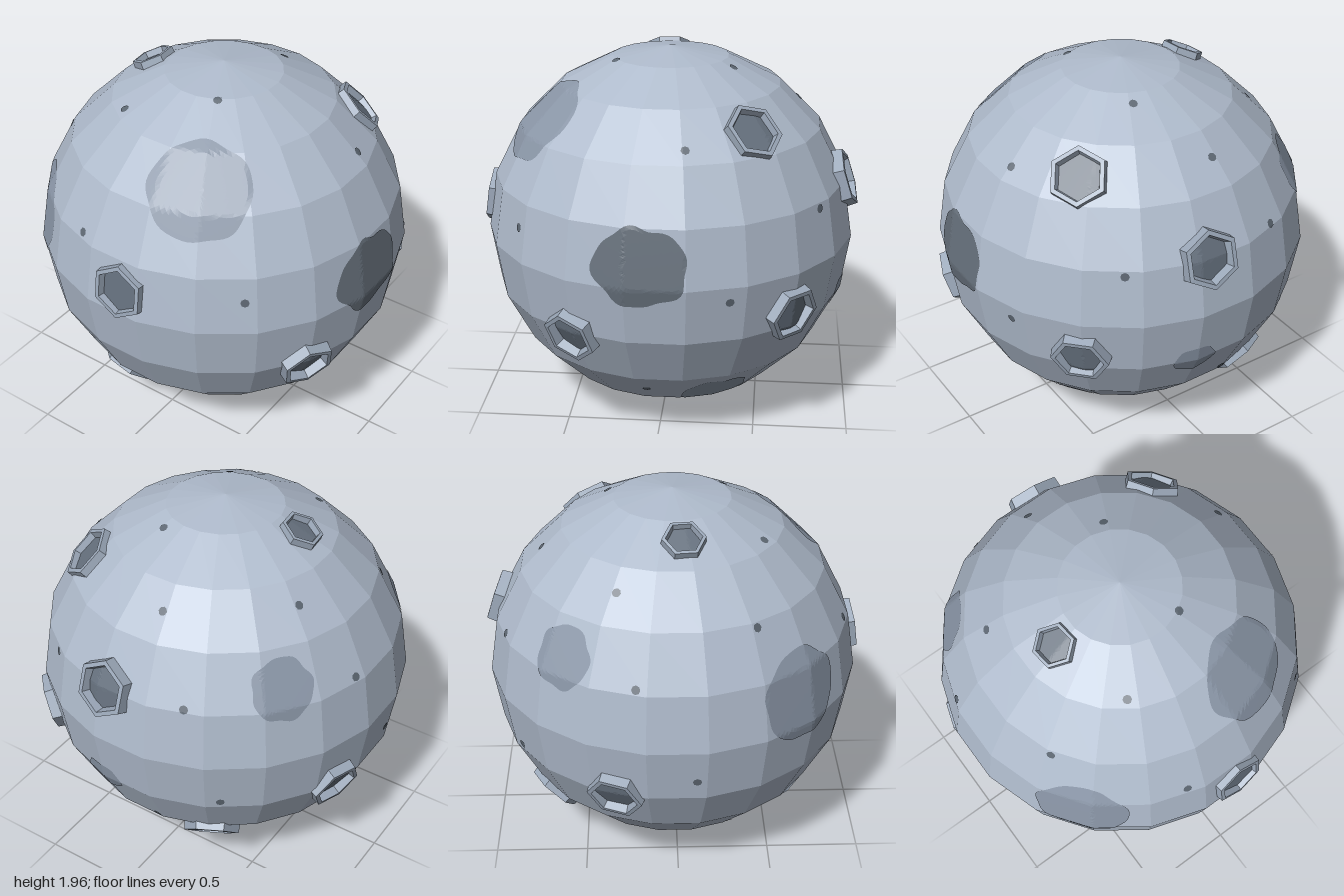
import * as THREE from 'three';

const SIDES = 20, BANDS = 10, RX = 0.99, RY = 0.98;

const mat = (name, color) => new THREE.MeshStandardMaterial({ name, color, flatShading: true });

// Distance from the centre to the faceted ball along a unit direction
function surfaceDistance(d) {
  const step = (2 * Math.PI) / SIDES;
  const theta = Math.atan2(d.z, d.x);
  const mid = Math.round(theta / step) * step;
  const h = Math.hypot(d.x, d.z) * Math.cos(theta - mid);
  const r = RX * Math.cos(step / 2);
  let best = Infinity;
  for (let i = 0; i < BANDS; i++) {
    const a = (i * Math.PI) / BANDS, b = ((i + 1) * Math.PI) / BANDS;
    const ax = r * Math.sin(a), ay = RY * Math.cos(a);
    const nx = ay - RY * Math.cos(b), ny = r * Math.sin(b) - ax;
    const k = nx * h + ny * d.y;
    if (k > 1e-6) best = Math.min(best, (nx * ax + ny * ay) / k);
  }
  return best;
}

// Local frame on the ball: outward normal, upward tangent, sideways tangent
function frame(dir) {
  const n = new THREE.Vector3(...dir).normalize();
  const u = new THREE.Vector3(0, 1, 0).addScaledVector(n, -n.y).normalize();
  return { n, u, s: new THREE.Vector3().crossVectors(n, u) };
}

// Thin patch hugging the facets; radiusAt(angle) gives its outline
function patchGeometry(dir, radiusAt, rings, segs, lift) {
  const { n, u, s } = frame(dir);
  const pos = [], idx = [];
  const add = (r, a) => {
    const p = n.clone().multiplyScalar(RY)
      .addScaledVector(u, r * Math.cos(a)).addScaledVector(s, r * Math.sin(a)).normalize();
    p.multiplyScalar(surfaceDistance(p) + lift);
    pos.push(p.x, p.y, p.z);
  };
  add(0, 0);
  for (let k = 1; k <= rings; k++) {
    for (let i = 0; i < segs; i++) {
      const a = (i / segs) * Math.PI * 2;
      add((radiusAt(a) * k) / rings, a);
    }
  }
  for (let i = 0; i < segs; i++) {
    const j = (i + 1) % segs;
    idx.push(0, 1 + i, 1 + j);
    for (let k = 1; k < rings; k++) {
      const p = 1 + (k - 1) * segs, q = p + segs;
      idx.push(p + i, q + i, q + j, p + i, q + j, p + j);
    }
  }
  const g = new THREE.BufferGeometry();
  g.setAttribute('position', new THREE.Float32BufferAttribute(pos, 3));
  g.setIndex(idx);
  g.computeVertexNormals();
  return g;
}

export function createModel() {
  const model = new THREE.Group();
  model.name = 'moon';
  const ball = new THREE.Group();
  ball.name = 'moonBall';
  ball.position.set(0.015, RY, -0.003);
  model.add(ball);

  const rock = mat('paleRock', 0xafbbcc);
  const rimRock = mat('rimRock', 0x9ca9ba);
  const plain = mat('greyPlain', 0x8b97a8);
  const dark = mat('darkPlain', 0x66707b);
  const floorMat = mat('craterFloor', 0x65707d);
  const pit = mat('pitGrey', 0x5d6772);

  const add = (parent, name, geometry, material) => {
    const mesh = new THREE.Mesh(geometry, material);
    mesh.name = name;
    parent.add(mesh);
    return mesh;
  };

  // Faceted body
  const body = new THREE.SphereGeometry(1, SIDES, BANDS);
  body.rotateY(Math.PI / SIDES);
  body.scale(RX, RY, RX);
  add(ball, 'body', body, rock);

  // Craters: direction, outer radius, twist in degrees
  const craters = [
    [[0.45, 0.675, 0.54], 0.158, 10],
    [[-0.43, -0.32, 0.82], 0.153, 10],
    [[0.655, -0.215, 0.67], 0.157, 30],
    [[0.925, 0.305, 0.1], 0.162, 0],
    [[-0.965, 0.14, 0.05], 0.155, 0],
    [[-0.607, -0.735, -0.225], 0.15, 0],
    [[-0.045, 0.88, -0.42], 0.116, 30],
    [[0.64, -0.645, -0.335], 0.152, 30],
    [[0.31, -0.315, -0.88], 0.153, 25],
  ];
  for (const [dir, R, deg] of craters) {
    const crater = new THREE.Group();
    crater.name = 'crater';
    ball.add(crater);
    const twist = THREE.MathUtils.degToRad(deg);
    const { n, u, s } = frame(dir);

    // Six-sided raised rim
    const profile = [[1, -0.035], [0.96, 0.032], [0.8, 0.034], [0.7, -0.02]]
      .map(([r, y]) => new THREE.Vector2(r * R, y));
    const rim = new THREE.LatheGeometry(profile, 6);
    rim.rotateY(twist);
    rim.applyMatrix4(new THREE.Matrix4().makeBasis(s, n, u)
      .setPosition(n.clone().multiplyScalar(surfaceDistance(n))));
    add(crater, 'craterRim', rim, rimRock);

    // Dark floor filling the rim
    const hex = (a) => {
      const w = Math.PI / 3;
      const t = (((a - twist) % w) + w) % w - w / 2;
      return (0.77 * R * Math.cos(w / 2)) / Math.cos(t);
    };
    add(crater, 'craterFloor', patchGeometry(dir, hex, 5, 36, 0.004), floorMat);
  }

  // Plains: direction, half width, half height, waviness, material
  const plains = [
    [[-0.075, 0.11, 0.97], 0.245, 0.205, 0.05, dark],
    [[-0.65, 0.67, 0.31], 0.27, 0.26, 0.03, plain],
    [[-0.64, 0.17, -0.72], 0.255, 0.25, 0.03, plain],
    [[0.55, 0.39, -0.69], 0.16, 0.165, 0.04, plain],
    [[0.92, -0.31, 0.155], 0.117, 0.095, 0.03, plain],
    [[0.28, -0.73, 0.57], 0.18, 0.155, 0.04, plain],
  ];
  plains.forEach(([dir, w, h, wave, material], k) => {
    const outline = (a) =>
      (w * h) / Math.hypot(w * Math.cos(a), h * Math.sin(a)) *
      (1 + wave * (Math.sin(5 * a + k) + 0.6 * Math.sin(8 * a + 2 * k)));
    add(ball, 'plain', patchGeometry(dir, outline, 10, 56, 0.004), material);
  });

  // Small scattered pits
  const pits = [
    [0.13, 0.635, 0.73], [0.79, 0.275, 0.5], [0.675, 0.69, -0.085], [0.335, 0.905, 0.148],
    [-0.27, 0.925, 0.153], [-0.455, 0.82, -0.292], [-0.39, 0.55, -0.707], [0.285, 0.7, -0.612],
    [0.2, 0.33, -0.907], [0.87, 0.32, -0.33], [-0.89, 0.335, -0.232], [-0.725, 0.175, 0.64],
    [0.365, -0.08, 0.9], [-0.535, -0.67, 0.47], [-0.07, -0.69, 0.69], [0.8, -0.26, -0.495],
    [0.81, -0.54, -0.103], [0.65, -0.72, 0.142], [-0.1, -0.19, -0.955], [-0.885, -0.35, -0.225],
    [-0.29, -0.7, -0.62], [0.24, -0.81, -0.49], [-0.16, -0.96, -0.04],
  ];
  for (const dir of pits) {
    add(ball, 'pit', patchGeometry(dir, () => 0.023, 2, 8, 0.004), pit);
  }

  return model;
}
